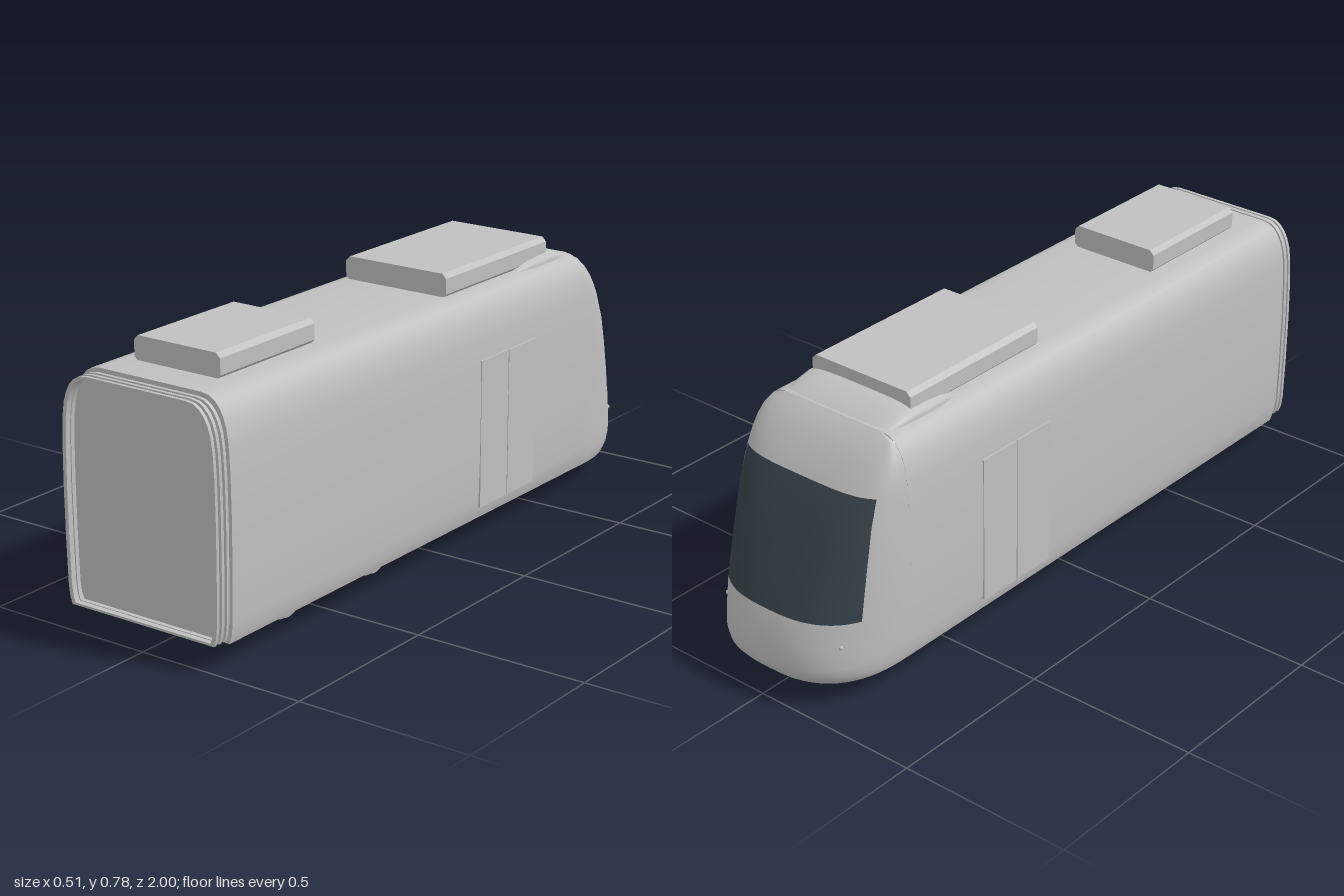
import * as THREE from 'three';
import { toCreasedNormals } from 'three/addons/utils/BufferGeometryUtils.js';

// Half cross-section of the body as [half width, height]
const SECTION = [[0.24, 0.065], [0.247, 0.085], [0.251, 0.12], [0.254, 0.25], [0.255, 0.4], [0.253, 0.52],
  [0.249, 0.59], [0.243, 0.63], [0.234, 0.658], [0.222, 0.68], [0.207, 0.696], [0.19, 0.706], [0.165, 0.71]];
// Nose rows as [height, depth in front of the body]
const NOSE = [[0.065, 0.27], [0.075, 0.28], [0.09, 0.292], [0.12, 0.3], [0.18, 0.293], [0.25, 0.272], [0.33, 0.238],
  [0.42, 0.2], [0.5, 0.166], [0.575, 0.122], [0.61, 0.098], [0.64, 0.076], [0.67, 0.05], [0.695, 0.022], [0.71, 0]];
const NOSE_Z = -0.7;
const WINDOW_ROWS = [5, 9];

const lerp = THREE.MathUtils.lerp;
const widthAt = (y) => {
  for (let i = 1; i < SECTION.length; i++) {
    const [w0, y0] = SECTION[i - 1], [w1, y1] = SECTION[i];
    if (y <= y1) return lerp(w0, w1, (y - y0) / (y1 - y0));
  }
  return SECTION[SECTION.length - 1][0];
};

// Body outline scaled about its centre
function outline(sx = 1, sy = 1) {
  const half = SECTION.map(([x, y]) => new THREE.Vector2(x * sx, 0.39 + (y - 0.39) * sy));
  const other = half.map((p) => new THREE.Vector2(-p.x, p.y)).reverse();
  return [...half, ...other];
}

function extrude(points, z0, z1, hole) {
  const shape = new THREE.Shape(points);
  if (hole) shape.holes.push(new THREE.Path(hole));
  const g = new THREE.ExtrudeGeometry(shape, { depth: z1 - z0, bevelEnabled: false });
  g.translate(0, 0, z0);
  return toCreasedNormals(g, 0.6);
}

// Smooth surface from rows of points; isSecond(i, j) picks the second material
function surface(rows, isSecond = () => false) {
  const n = rows[0].length, lists = [[], []];
  for (let j = 0; j < rows.length - 1; j++) {
    for (let i = 0; i < n - 1; i++) {
      const a = j * n + i, c = a + n;
      lists[isSecond(i, j) ? 1 : 0].push(a, a + 1, c, a + 1, c + 1, c);
    }
  }
  const g = new THREE.BufferGeometry();
  g.setAttribute('position', new THREE.Float32BufferAttribute(rows.flat(2), 3));
  g.setIndex([...lists[0], ...lists[1]]);
  g.addGroup(0, lists[0].length, 0);
  g.addGroup(lists[0].length, lists[1].length, 1);
  g.computeVertexNormals();
  return g;
}

// Point on the nose: a rounded plan curve at each height, angle 0 (left side) to PI (right side)
function nosePoint(y, depth, angle) {
  const n = lerp(2.6, 3.6, THREE.MathUtils.clamp((y - 0.2) / 0.4, 0, 1));
  const c = Math.cos(angle), s = Math.max(Math.sin(angle), 0);
  return [Math.sign(c) * widthAt(y) * Math.abs(c) ** (2 / n), y, NOSE_Z - depth * s ** (2 / n)];
}

// Plan angle where the windscreen's side edge lies
function edgeAngle(y) {
  const t = THREE.MathUtils.clamp((y - 0.25) / 0.325, 0, 1);
  return Math.asin(lerp(0.59, 0.72, t) ** (lerp(2.6, 3.6, THREE.MathUtils.clamp((y - 0.2) / 0.4, 0, 1)) / 2));
}

export function createModel() {
  const model = new THREE.Group();
  const paint = new THREE.MeshStandardMaterial({ color: 0xc0c0c0 });
  paint.name = 'greyPaint';
  const glass = new THREE.MeshStandardMaterial({ color: 0x38434a });
  glass.name = 'darkGlass';
  const add = (name, geometry, material = paint) => {
    const mesh = new THREE.Mesh(geometry, material);
    mesh.name = name;
    model.add(mesh);
    return mesh;
  };

  // Passenger body
  add('body', extrude(outline(), NOSE_Z, 0.945));

  // Nose with windscreen
  const SIDE = 10, MID = 24;
  const rows = NOSE.map(([y, depth]) => {
    const e = edgeAngle(y), row = [];
    for (let i = 0; i < SIDE; i++) row.push(nosePoint(y, depth, e * i / SIDE));
    for (let i = 0; i <= MID; i++) row.push(nosePoint(y, depth, lerp(e, Math.PI - e, i / MID)));
    for (let i = 1; i <= SIDE; i++) row.push(nosePoint(y, depth, Math.PI - e + e * i / SIDE));
    return row;
  });
  const isGlass = (i, j) => i >= SIDE && i < SIDE + MID && j >= WINDOW_ROWS[0] && j < WINDOW_ROWS[1];
  add('noseAndWindscreen', surface(rows, isGlass), [paint, glass]);
  const centre = rows[0].map(() => [0, NOSE[0][0], NOSE_Z]);
  add('noseFloor', surface([centre, rows[0]]), [paint, paint]);

  // Small nose lamps
  for (const angle of [0.72, Math.PI - 0.72]) {
    const lamp = add('noseLamp', new THREE.SphereGeometry(0.006, 10, 8));
    lamp.position.set(...nosePoint(0.185, 0.292, angle));
  }

  // Roof fairing rising from the nose to the front roof unit
  const fairing = [[-0.71, 0.7, 0.17], [-0.68, 0.718, 0.18], [-0.64, 0.732, 0.187], [-0.6, 0.742, 0.19],
    [-0.54, 0.74, 0.191], [-0.48, 0.734, 0.188], [-0.44, 0.722, 0.182], [-0.42, 0.705, 0.17]];
  const fairingRows = fairing.map(([z, top, w]) => {
    const row = [];
    for (let i = 0; i <= 20; i++) {
      const a = Math.PI * i / 20, c = Math.cos(a);
      row.push([Math.sign(c) * w * Math.abs(c) ** 0.5, 0.695 + (top - 0.695) * Math.sin(a) ** 0.5, z]);
    }
    return row;
  });
  add('roofFairing', surface(fairingRows), [paint, paint]);

  // Roof equipment units with chamfered edges
  const roofUnit = (name, w, z0, z1) => {
    const y0 = 0.706, y1 = 0.776, c = 0.013;
    const pts = [[w - c, y0], [w, y0 + c], [w, y1 - c], [w - c, y1], [c - w, y1], [-w, y1 - c], [-w, y0 + c], [c - w, y0]];
    add(name, extrude(pts.map((p) => new THREE.Vector2(...p)), z0, z1));
  };
  roofUnit('frontRoofUnit', 0.17, -0.595, -0.09);
  roofUnit('rearRoofUnit', 0.14, 0.46, 0.84);

  // Gangway bellows at the coupled end
  const hole = outline(0.935, 0.95);
  for (let i = 0; i < 3; i++) {
    const z = 0.945 + i * 0.0195;
    add('bellowsFold', extrude(outline(0.96, 0.95 + 0.01), z, z + 0.006, hole));
    add('bellowsRib', extrude(outline(0.98, 0.97), z + 0.006, z + 0.016, hole));
  }
  add('bellowsLip', extrude(outline(0.965, 0.96), 0.994, 1, hole));
  add('endPanel', extrude(outline(0.945, 0.955), 0.94, 0.968));

  // Double doors on both sides
  for (const side of [1, -1]) {
    for (const z of [-0.346, -0.209]) {
      const door = add('doorLeaf', new THREE.BoxGeometry(0.008, 0.43, 0.134));
      door.position.set(side * 0.2525, 0.317, z);
    }
  }

  // Wheels with inner flanges, and axles
  const wheelProfile = [[0, -0.014], [0.05, -0.014], [0.056, -0.011], [0.058, 0.004], [0.065, 0.007],
    [0.065, 0.011], [0.05, 0.016], [0, 0.016]].map((p) => new THREE.Vector2(...p));
  for (const z of [0.62, 0.24]) {
    for (const side of [1, -1]) {
      const wheel = add('wheel', toCreasedNormals(new THREE.LatheGeometry(wheelProfile, 32), 0.6));
      wheel.rotation.z = side * Math.PI / 2;
      wheel.position.set(side * 0.16, 0.066, z);
    }
    const axle = add('axle', new THREE.CylinderGeometry(0.01, 0.01, 0.31, 12));
    axle.rotation.z = Math.PI / 2;
    axle.position.set(0, 0.067, z);
  }

  return model;
}
